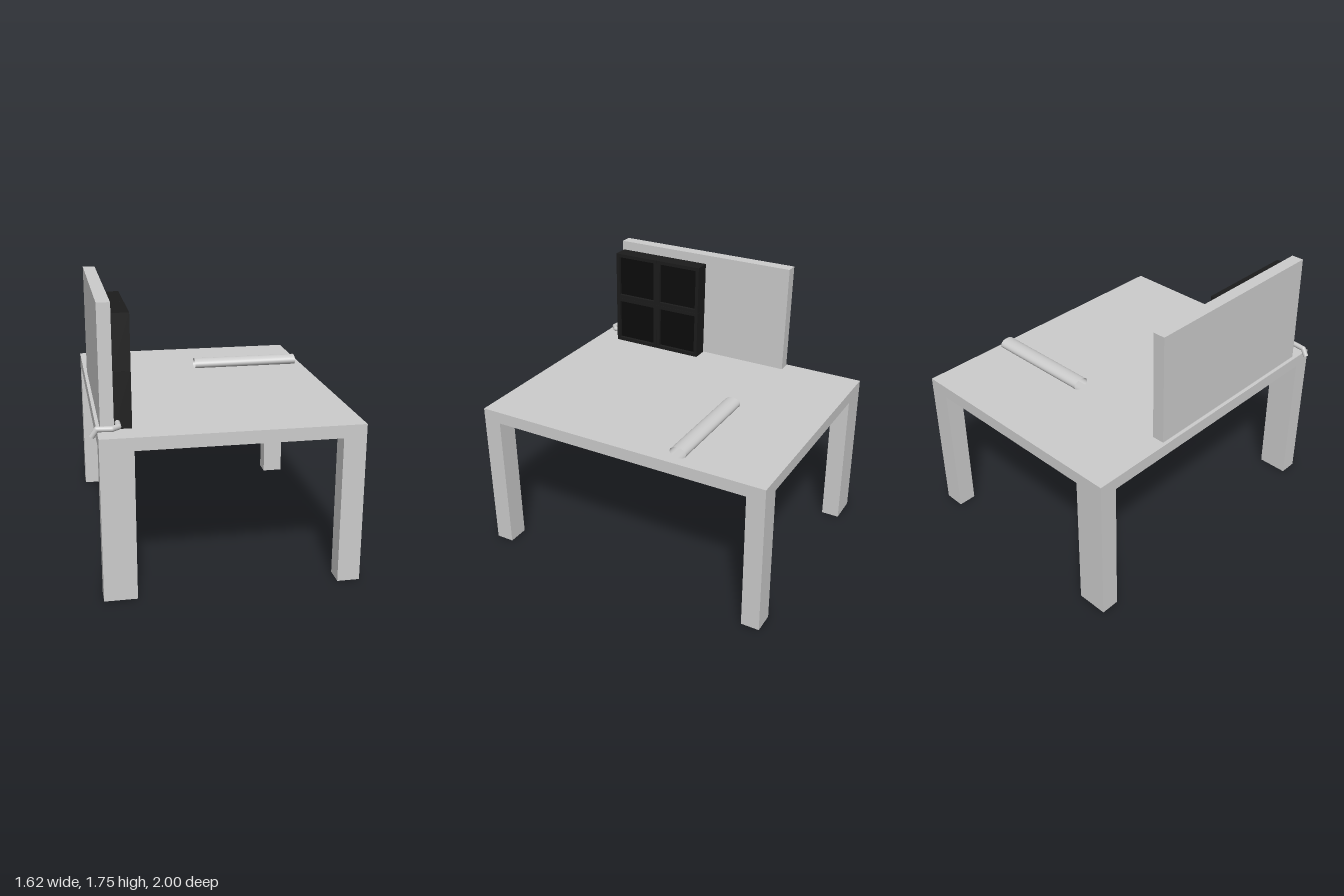
import * as THREE from 'three';

const grey = new THREE.MeshStandardMaterial({ color: 0xcccccc });
const paper = new THREE.MeshStandardMaterial({ color: 0xcccccc, side: THREE.DoubleSide });
const black = new THREE.MeshStandardMaterial({ color: 0x1c1c1c });
const glass = new THREE.MeshStandardMaterial({ color: 0x0c0c0c });
const TOP = 1.01;

// Slight backward lean along z, growing with height above the table
const lean = (geo) => {
  const p = geo.attributes.position;
  for (let i = 0; i < p.count; i++) p.setZ(i, p.getZ(i) - 0.02 * (p.getY(i) - TOP));
  geo.computeVertexNormals();
  return geo;
};

const boxGeo = (x0, x1, y0, y1, z0, z1) =>
  new THREE.BoxGeometry(x1 - x0, y1 - y0, z1 - z0)
    .translate((x0 + x1) / 2, (y0 + y1) / 2, (z0 + z1) / 2);

function rect(path, x0, y0, x1, y1) {
  path.moveTo(x0, y0);
  path.lineTo(x1, y0);
  path.lineTo(x1, y1);
  path.lineTo(x0, y1);
  path.closePath();
  return path;
}

export function createModel() {
  const model = new THREE.Group();
  const add = (name, geo, mat = grey, parent = model) => {
    const mesh = new THREE.Mesh(geo, mat);
    mesh.name = name;
    parent.add(mesh);
    return mesh;
  };

  // Table: slab and four legs, the right-hand pair wider
  add('tableTop', boxGeo(-0.76, 0.81, 0.93, TOP, -1, 1));
  for (const [x0, x1] of [[-0.76, -0.56], [0.67, 0.81]])
    for (const z0 of [-1, 0.88]) add('leg', boxGeo(x0, x1, 0, 0.93, z0, z0 + 0.12));

  // Upright board along one edge
  add('backBoard', lean(boxGeo(-0.74, -0.66, 1.015, 1.75, -0.46, 0.85)));

  // Two by two dark framed panels with recessed faces
  const panels = new THREE.Group();
  panels.name = 'panels';
  model.add(panels);
  const w = 0.337, h = 0.338, rim = 0.025, depth = 0.105;
  for (let row = 0; row < 2; row++) {
    for (let col = 0; col < 2; col++) {
      const zMax = 0.84 - col * w, y = TOP + 0.002 + row * h;
      const shape = rect(new THREE.Shape(), 0, 0, w - 0.001, h - 0.001);
      shape.holes.push(rect(new THREE.Path(), rim, rim, w - rim, h - rim));
      const frame = new THREE.ExtrudeGeometry(shape, { depth, bevelEnabled: false });
      frame.rotateY(Math.PI / 2).translate(-0.66, y, zMax);
      add('panelFrame', lean(frame), black, panels);
      add('panelFace', lean(boxGeo(-0.659, -0.575, y + rim, y + h - rim,
        zMax - w + rim, zMax - rim)), glass, panels);
    }
  }

  // Bent pipe: straight runs joined by round elbows
  const bends = [[-0.64, 1.05, 0.82], [-0.64, 1.05, 0.91], [-0.68, 1.05, 0.945],
    [-0.765, 1.05, 0.935], [-0.795, 1.005, 0.93]].map((p) => new THREE.Vector3(...p));
  const pipe = new THREE.Group();
  pipe.name = 'crankHandle';
  model.add(pipe);
  for (let i = 0; i < bends.length - 1; i++) {
    const run = new THREE.LineCurve3(bends[i], bends[i + 1]);
    const length = run.getLength();
    const rod = add('pipeRun', new THREE.CylinderGeometry(0.017, 0.017, length, 16), grey, pipe);
    rod.position.copy(run.getPoint(0.5));
    rod.quaternion.setFromUnitVectors(new THREE.Vector3(0, 1, 0), run.getTangent(0));
    if (i > 0) add('pipeElbow', new THREE.SphereGeometry(0.017, 16, 12), grey, pipe)
      .position.copy(bends[i]);
  }

  // Sheet lying on the table, with its far end curled over into an open roll
  const x0 = 0.02, x1 = 0.75;
  const sheet = new THREE.PlaneGeometry(x1 - x0, 1.155).rotateX(-Math.PI / 2);
  sheet.translate((x0 + x1) / 2, TOP + 0.003, 0.1725);
  add('paperSheet', sheet, paper);

  const N = 40;
  const roll = new THREE.PlaneGeometry(x1 - x0, 1, 1, N);
  const pos = roll.attributes.position;
  for (let i = 0; i < pos.count; i++) {
    const t = Math.floor(i / 2) / N;
    const a = t * Math.PI * 1.75;
    pos.setXYZ(i, i % 2 ? x1 : x0, TOP + 0.039 - 0.036 * Math.cos(a),
      -0.405 - 0.055 * Math.sin(a));
  }
  // Turn the strip so its front faces outwards
  const idx = roll.index.array;
  const A = new THREE.Vector3().fromBufferAttribute(pos, idx[0]);
  const B = new THREE.Vector3().fromBufferAttribute(pos, idx[1]);
  const C = new THREE.Vector3().fromBufferAttribute(pos, idx[2]);
  if (B.sub(A).cross(C.sub(A)).y > 0)
    for (let i = 0; i < idx.length; i += 3) [idx[i], idx[i + 1]] = [idx[i + 1], idx[i]];
  roll.computeVertexNormals();
  add('paperRoll', roll, paper);

  return model;
}
